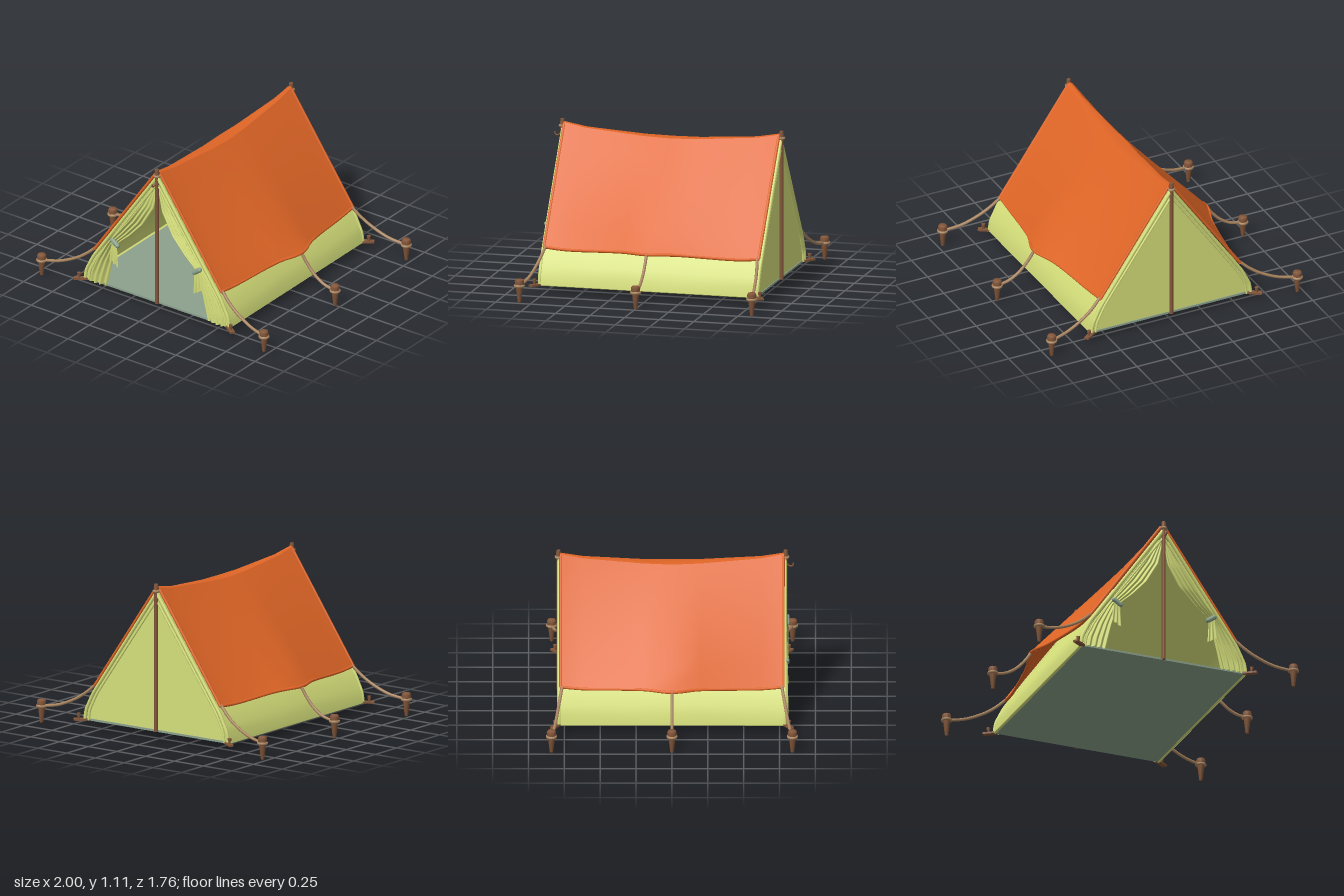
import * as THREE from 'three';

const mat = (name, color, double) => {
  const m = new THREE.MeshStandardMaterial({ color });
  m.name = name;
  if (double) m.side = THREE.DoubleSide;
  return m;
};

// Piecewise linear lookup in a list of [key, value] pairs with rising keys
function lookup(table, k) {
  for (let i = 1; i < table.length; i++) {
    const [k0, a] = table[i - 1], [k1, b] = table[i];
    if (k <= k1) return a + (b - a) * Math.max(0, (k - k0) / (k1 - k0));
  }
  return table[table.length - 1][1];
}

// Smooth sheet through f(u, v) sampled at the given u and v values
function sheet(us, vs, f) {
  const pos = [], idx = [], n = vs.length;
  us.forEach((u, i) => vs.forEach((v, j) => {
    pos.push(...f(u, v));
    if (i && j) {
      const a = (i - 1) * n + j - 1, b = a + n;
      idx.push(a, b, a + 1, b, b + 1, a + 1);
    }
  }));
  const g = new THREE.BufferGeometry();
  g.setAttribute('position', new THREE.Float32BufferAttribute(pos, 3));
  g.setIndex(idx);
  g.computeVertexNormals();
  return g;
}

const steps = n => Array.from({ length: n + 1 }, (_, i) => i / n);
const vec = p => new THREE.Vector3(...p);

function tube(points, radius, segments = 24, sides = 8) {
  return new THREE.TubeGeometry(new THREE.CatmullRomCurve3(points.map(vec), false, 'centripetal'), segments, radius, sides);
}

// Shape tables: fly by distance from the middle, body half width by height
const Z = [-0.78, -0.62, -0.2, 0, 0.2, 0.62, 0.78];
const EAVE_X = [[0, 0.675], [0.2, 0.615], [0.62, 0.555], [0.78, 0.545]];
const EAVE_Y = [[0, 0.335], [0.2, 0.33], [0.62, 0.31], [0.78, 0.32]];
const RIDGE_Y = [[0, 1.03], [0.2, 1.035], [0.62, 1.066], [0.78, 1.095]];
const RIDGE_X = [[0, 0.048], [0.78, 0.014]];
const BODY = [[0.055, 0.63], [0.13, 0.618], [0.19, 0.59], [0.25, 0.56], [0.31, 0.52], [1.05, 0]];
const CURTAIN = [[0.055, 0.435], [0.25, 0.39], [0.4, 0.345], [0.435, 0.32], [0.515, 0.23], [0.63, 0.125], [0.79, 0.035], [0.97, 0]];

export function createModel() {
  const root = new THREE.Group();
  root.name = 'tent';
  const orange = mat('orange canvas', 0xdf6526, true);
  const lime = mat('lime canvas', 0xd5df7a, true);
  const sage = mat('sage groundsheet', 0x8ba18c);
  const wood = mat('brown wood', 0x83563a);
  const rope = mat('tan rope', 0xa98560);

  const add = (name, geometry, material, parent = root, p = [0, 0, 0]) => {
    const m = new THREE.Mesh(geometry, material);
    m.name = name;
    m.position.set(...p);
    parent.add(m);
    return m;
  };

  // Groundsheet
  add('groundsheet', new THREE.BoxGeometry(1.22, 0.014, 1.57), sage, root, [0, 0.06, 0]);

  // Roof fly: two slopes, a flat ridge strip and rolled hems
  const eave = (s, z, d = 0) => [s * lookup(EAVE_X, Math.abs(z)), lookup(EAVE_Y, Math.abs(z)) - d, z];
  const ridge = (s, z, d = 0) => [s * lookup(RIDGE_X, Math.abs(z)), lookup(RIDGE_Y, Math.abs(z)) - 0.006 - d, z];
  const mix = (a, b, t) => a.map((v, i) => v + (b[i] - v) * t);
  const fly = new THREE.Group();
  fly.name = 'fly';
  root.add(fly);
  add('ridgeStrip', sheet(Z, [-1, 0, 1], (z, v) => {
    const p = ridge(v, z);
    if (v === 0) p[1] += 0.006;
    return p;
  }), orange, fly);
  for (const s of [1, -1]) {
    for (const [name, d] of [['flySlope', 0], ['flyLining', 0.018]]) {
      add(name, sheet(Z, steps(6), (z, t) => mix(ridge(s, z, d), eave(s, z, d), t)), orange, fly);
    }
    add('eaveHem', tube(Z.map(z => eave(s, z, 0.009)), 0.011, 48), orange, fly);
    for (const z of [0.775, -0.775]) {
      add('endHem', tube([ridge(s, z, 0.011), eave(s, z, 0.009)], 0.011, 2), orange, fly);
    }
  }

  // Tent body: side walls that curve out to the ground
  const wallPoint = (s, k, z, inset = 0) => {
    const [y, x] = BODY[k];
    const top = lookup(RIDGE_Y, Math.abs(z)) - 0.045;
    return [s * Math.max(0, x - inset), k === BODY.length - 1 ? top : y, z];
  };
  const rows = BODY.map((_, k) => k);
  for (const s of [1, -1]) {
    add('sideWall', sheet([-0.79, ...Z.slice(1, -1), 0.79], rows, (z, k) => wallPoint(s, k, z)), lime);
    add('groundSeam', tube([[s * 0.617, 0.06, -0.785], [s * 0.617, 0.06, 0.785]], 0.012, 2), lime);
    for (const z of [0.787, -0.787]) {
      add('edgePiping', tube(rows.map(k => wallPoint(s, k, z, 0.008)), 0.013, 48), lime);
      add('innerPiping', tube(rows.map(k => {
        const p = wallPoint(s, k, z, 0.04);
        if (p[0] === 0) p[1] -= 0.055;
        return p;
      }), 0.008, 48), lime);
    }
  }

  // Back wall
  const back = new THREE.Shape();
  [...rows.map(k => wallPoint(1, k, -0.78)), ...rows.map(k => wallPoint(-1, k, -0.78)).reverse()]
    .forEach((p, i) => (i ? back.lineTo(p[0], p[1]) : back.moveTo(p[0], p[1])));
  add('backWall', new THREE.ShapeGeometry(back), lime, root, [0, 0, -0.778]);

  // Front curtains gathered to the sides, with tie bands and loose tails
  for (const s of [1, -1]) {
    const side = new THREE.Group();
    side.name = s > 0 ? 'leftCurtain' : 'rightCurtain';
    root.add(side);
    add('curtain', sheet(steps(40), steps(40), (t, u) => {
      const y = 0.97 - 0.912 * t;
      const outer = lookup(BODY, y) - 0.012, inner = Math.min(lookup(CURTAIN, y), outer);
      const x = outer + (inner - outer) * u;
      const fold = 0.012 * Math.min(1, t * 2.5) * Math.sin(u * Math.PI * 9);
      return [s * x, y, 0.782 + 0.02 * t * Math.sin(u * Math.PI) + fold * Math.min(1, u * 4)];
    }), lime, side);
    add('curtainTail', sheet(steps(8), steps(16), (t, u) => {
      const x = 0.335 + 0.045 * u + t * (u * 0.03 - 0.01);
      const y = 0.42 - t * (0.18 - 0.045 * u);
      return [s * x, y, 0.806 + 0.007 * t * Math.sin(u * Math.PI * 5)];
    }), lime, side);
    const band = add('tieBand', new THREE.CapsuleGeometry(0.018, 0.055, 4, 10), sage, side, [s * 0.355, 0.425, 0.803]);
    band.rotation.z = s * (0.62 - Math.PI / 2);
  }

  // Upright poles with collar and rounded cap
  for (const z of [0.792, -0.792]) {
    const pole = new THREE.Group();
    pole.name = z > 0 ? 'frontPole' : 'backPole';
    pole.position.z = z;
    root.add(pole);
    add('shaft', new THREE.CylinderGeometry(0.014, 0.014, 1.02, 12), wood, pole, [0, 0.565, 0]);
    add('cap', new THREE.CylinderGeometry(0.014, 0.018, 0.045, 12), wood, pole, [0, 1.09, 0]);
    add('collar', new THREE.TorusGeometry(0.017, 0.01, 8, 16).rotateX(Math.PI / 2), rope, pole, [0, 1.062, 0]);
  }
  add('lanternHook', tube([[0, 1.015, 0.8], [0, 0.998, 0.815], [0, 0.993, 0.832], [0, 1.002, 0.845], [0, 1.02, 0.846]], 0.006, 16, 6), wood);

  // Guy lines and stakes
  const stakeProfile = [[0, 0], [0.012, 0], [0.024, 0.1], [0.03, 0.105], [0.033, 0.15], [0.026, 0.163], [0, 0.167]]
    .map(p => new THREE.Vector2(...p));
  for (const s of [1, -1]) {
    for (const z of [-0.84, 0, 0.84]) {
      const stake = new THREE.Group();
      stake.name = 'stake';
      stake.position.set(s * 0.96, 0, z);
      root.add(stake);
      add('spike', new THREE.LatheGeometry(stakeProfile, 14), wood, stake);
      add('ropeLoop', new THREE.TorusGeometry(0.029, 0.011, 8, 18).rotateX(Math.PI / 2), rope, stake, [0, 0.117, 0]);
      const path = z === 0
        ? [[0.665, 0.335, 0], [0.715, 0.26, 0], [0.785, 0.185, 0], [0.86, 0.138, 0], [0.94, 0.118, 0]]
        : [[0.545, 0.315, 0.765], [0.61, 0.255, 0.78], [0.69, 0.2, 0.795], [0.82, 0.142, 0.815], [0.94, 0.118, 0.836]];
      add('guyLine', tube(path.map(p => [s * p[0], p[1], Math.sign(z) * p[2]]), 0.011), rope);
    }
    // Corner tabs and pegs
    for (const e of [1, -1]) {
      const tab = add('cornerTab', new THREE.BoxGeometry(0.1, 0.014, 0.035), wood, root, [s * 0.645, 0.058, e * 0.808]);
      tab.rotation.y = -s * e * 0.6;
      add('cornerPeg', new THREE.CylinderGeometry(0.008, 0.008, 0.04, 8), wood, root, [s * 0.655, 0.075, e * 0.815]);
      add('pegHead', new THREE.CylinderGeometry(0.014, 0.012, 0.022, 10), wood, root, [s * 0.655, 0.092, e * 0.815]);
    }
  }
  return root;
}
